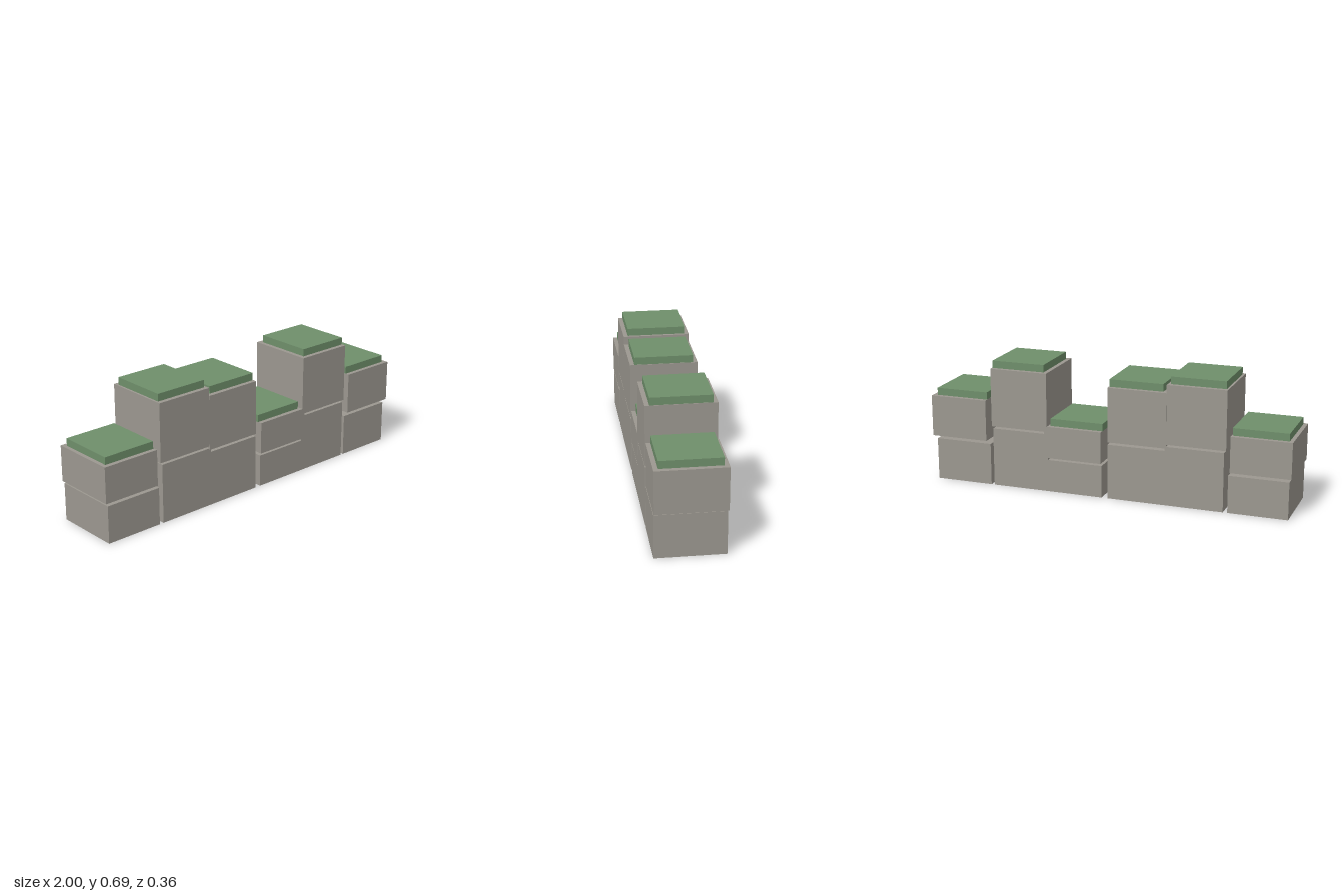
import * as THREE from 'three';

export function createModel() {
  const model = new THREE.Group();
  const stone = new THREE.MeshStandardMaterial({ color: 0x9c9890 });
  stone.name = 'warm grey stone';
  const moss = new THREE.MeshStandardMaterial({ color: 0x6f8f6b });
  moss.name = 'moss green';

  function addBox(parent, name, material, x, bottom, top, width, depth) {
    const mesh = new THREE.Mesh(new THREE.BoxGeometry(width, top - bottom, depth), material);
    mesh.name = name;
    mesh.position.set(x, (bottom + top) / 2, 0);
    parent.add(mesh);
  }

  // Each column: centre x of base, block and cap, then base top, block bottom and block top
  const columns = [
    [-0.831, -0.840, -0.832, 0.202, 0.217, 0.411],
    [-0.489, -0.499, -0.501, 0.320, 0.332, 0.651],
    [-0.176, -0.178, -0.168, 0.298, 0.311, 0.607],
    [0.175, 0.181, 0.165, 0.176, 0.187, 0.361],
    [0.479, 0.485, 0.495, 0.320, 0.332, 0.651],
    [0.815, 0.840, 0.828, 0.230, 0.245, 0.471],
  ];

  columns.forEach(([baseX, blockX, capX, baseTop, blockBottom, blockTop], i) => {
    const column = new THREE.Group();
    column.name = `column${i + 1}`;
    addBox(column, 'baseStone', stone, baseX, 0, baseTop, 0.318, 0.361);
    addBox(column, 'upperStone', stone, blockX, blockBottom, blockTop, 0.32, 0.364);
    addBox(column, 'mossCap', moss, capX, blockTop, blockTop + 0.04, 0.294, 0.317);
    model.add(column);
  });

  return model;
}
